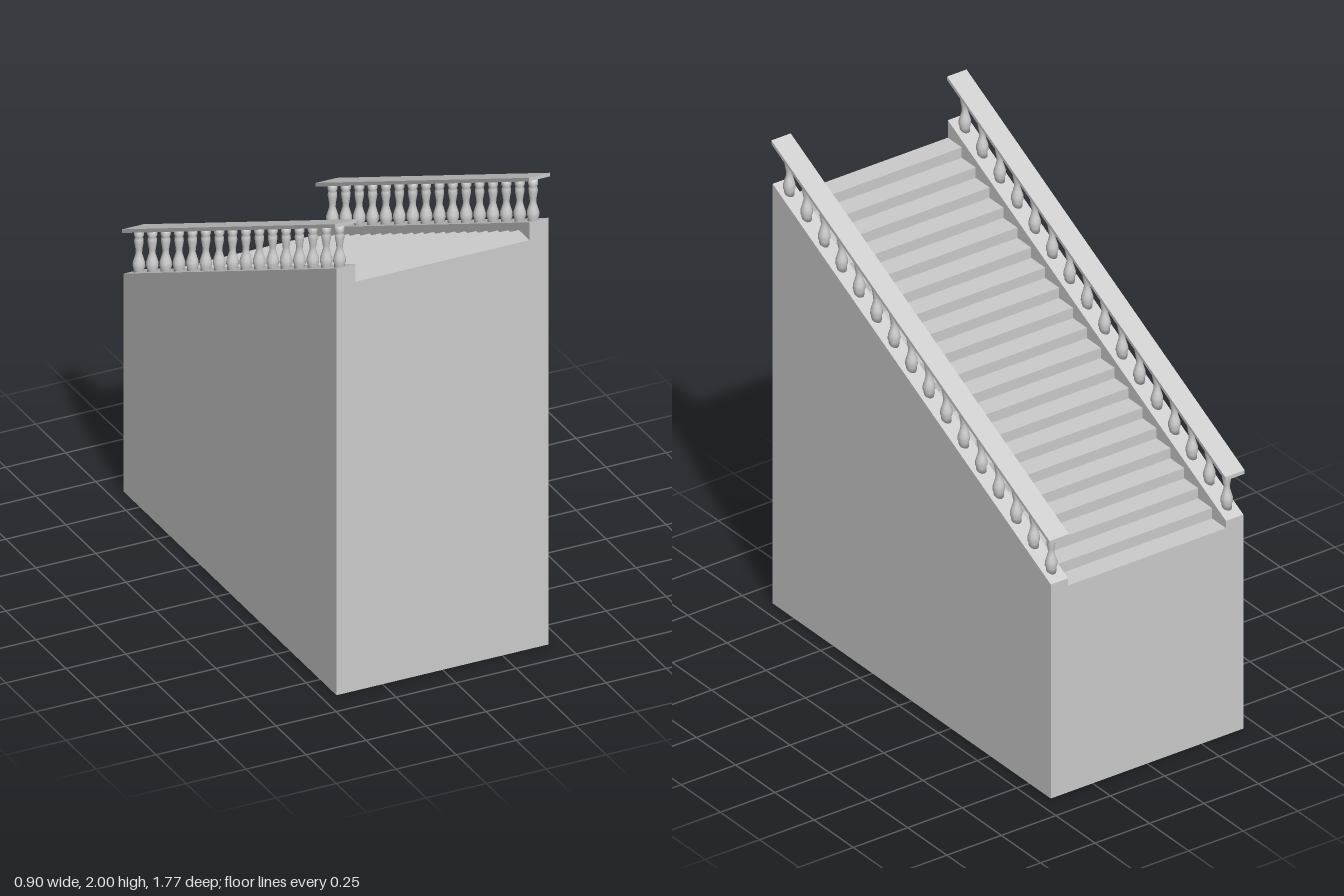
import * as THREE from 'three';

const HALF = 0.887;            // half length along z
const STEPS = 20;
const RUN = (2 * HALF) / STEPS;
const RISE = RUN / 2;
const wallTop = (z) => 1.367 + z * 0.5;
const railUnder = (z) => 1.541 + z * 0.5;

const stone = new THREE.MeshStandardMaterial({ color: 0xcccccc });
stone.name = 'palestone';

// Extrudes a (z, y) outline across x, centred on x = cx
function slab(name, points, width, cx) {
  const shape = new THREE.Shape(points.map(([z, y]) => new THREE.Vector2(z, y)));
  const geo = new THREE.ExtrudeGeometry(shape, { depth: width, bevelEnabled: false });
  geo.translate(0, 0, -width / 2);
  geo.rotateY(-Math.PI / 2);
  geo.translate(cx, 0, 0);
  const mesh = new THREE.Mesh(geo, stone);
  mesh.name = name;
  return mesh;
}

export function createModel() {
  const model = new THREE.Group();
  model.name = 'staircase';

  // Solid flight of steps, climbing toward the front
  const outline = [[-HALF, 0], [HALF, 0]];
  for (let i = STEPS - 1; i >= 0; i--) {
    const y = 1.735 - (STEPS - 1 - i) * RISE;
    outline.push([-HALF + (i + 1) * RUN, y], [-HALF + i * RUN, y]);
  }
  model.add(slab('steps', outline, 0.724, 0));

  // Turned baluster profile
  const profile = [
    [0, -0.012], [0.02, -0.012], [0.02, 0.012], [0.024, 0.022], [0.023, 0.04],
    [0.017, 0.06], [0.012, 0.078], [0.013, 0.095], [0.018, 0.125], [0.017, 0.14],
    [0.014, 0.147], [0.019, 0.153], [0.019, 0.18], [0, 0.18],
  ].map(([r, y]) => new THREE.Vector2(r, y));
  const balusterGeo = new THREE.LatheGeometry(profile, 12);

  for (const side of [-1, 1]) {
    const balustrade = new THREE.Group();
    balustrade.name = side > 0 ? 'leftBalustrade' : 'rightBalustrade';

    // Sloping side wall
    balustrade.add(slab('sideWall', [
      [-HALF, 0], [HALF, 0], [HALF, wallTop(HALF)], [-HALF, wallTop(-HALF)],
    ], 0.08, side * 0.402));

    // Sloping handrail with upright ends
    balustrade.add(slab('handrail', [
      [-HALF, railUnder(-HALF)], [HALF, railUnder(HALF)],
      [HALF, railUnder(HALF) + 0.0155], [-HALF, railUnder(-HALF) + 0.0155],
    ], 0.089, side * 0.4035));

    // Row of balusters
    for (let i = 0; i < 16; i++) {
      const z = -0.835 + (i * 1.67) / 15;
      const baluster = new THREE.Mesh(balusterGeo, stone);
      baluster.name = 'baluster';
      baluster.position.set(side * 0.403, wallTop(z), z);
      balustrade.add(baluster);
    }
    model.add(balustrade);
  }
  return model;
}
